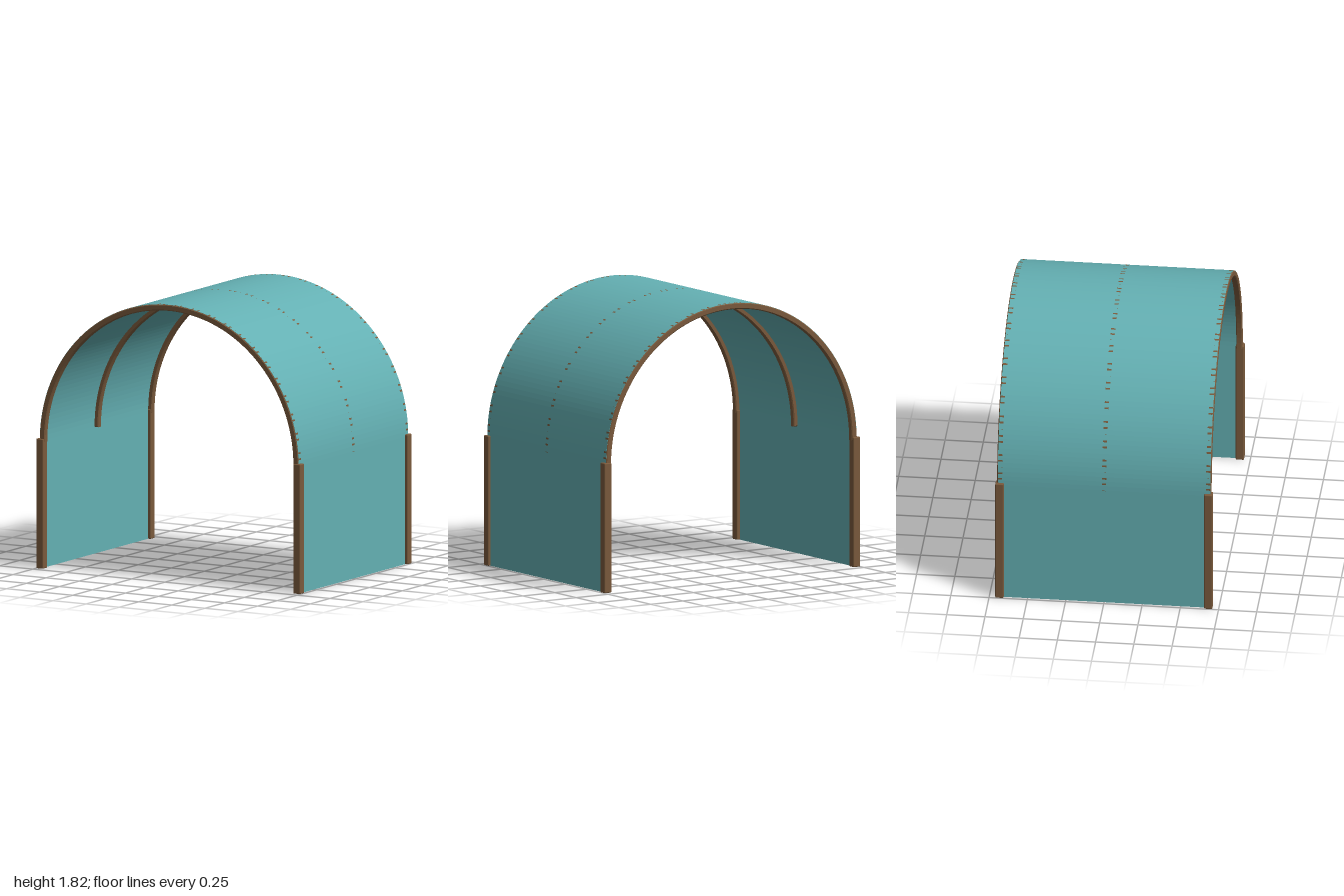
import * as THREE from 'three';
import { RoundedBoxGeometry } from 'three/addons/geometries/RoundedBoxGeometry.js';

const SPRING = 0.84; // height where the arch begins
const RADIUS = 0.98; // outer arch radius

// Half ring in the xy plane, extruded along z and centred on z = 0
function halfRing(inner, outer, depth, segments, bevel) {
  const shape = new THREE.Shape();
  shape.absarc(0, 0, outer - bevel, 0, Math.PI, false);
  shape.absarc(0, 0, inner + bevel, Math.PI, 0, true);
  const geometry = new THREE.ExtrudeGeometry(shape, {
    depth: depth - 2 * bevel,
    curveSegments: segments,
    bevelEnabled: bevel > 0,
    bevelSize: bevel,
    bevelThickness: bevel,
    bevelSegments: 1,
  });
  geometry.translate(0, SPRING, -(depth - 2 * bevel) / 2);
  return geometry;
}

export function createModel() {
  const model = new THREE.Group();
  model.name = 'archedShelter';

  const fabric = new THREE.MeshStandardMaterial({ color: 0x64b0b3 });
  fabric.name = 'teal fabric';
  const wood = new THREE.MeshStandardMaterial({ color: 0x7a5a3c });
  wood.name = 'brown wood';

  const add = (name, geometry, material, x = 0, y = 0, z = 0) => {
    const mesh = new THREE.Mesh(geometry, material);
    mesh.name = name;
    mesh.position.set(x, y, z);
    model.add(mesh);
  };

  // Barrel-vaulted cover
  add('canopy', halfRing(RADIUS - 0.012, RADIUS, 1.39, 48, 0), fabric);

  // Three arched ribs, coarser than the cover so their corners just show through
  const rib = halfRing(RADIUS - 0.04, RADIUS, 0.04, 36, 0.006);
  add('backRib', rib, wood, 0, 0, -0.68);
  add('middleRib', rib, wood);
  add('frontRib', rib, wood, 0, 0, 0.68);

  // Side walls and corner posts
  const wall = new THREE.BoxGeometry(0.012, SPRING, 1.39);
  const post = new RoundedBoxGeometry(0.055, 0.855, 0.055, 2, 0.007);
  for (const [side, sx] of [['left', 1], ['right', -1]]) {
    add(side + 'Wall', wall, fabric, sx * 0.974, SPRING / 2, 0);
    for (const [end, sz] of [['Front', 1], ['Back', -1]]) {
      add(side + end + 'Post', post, wood, sx * 0.9725, 0.4275, sz * 0.6825);
    }
  }
  return model;
}
